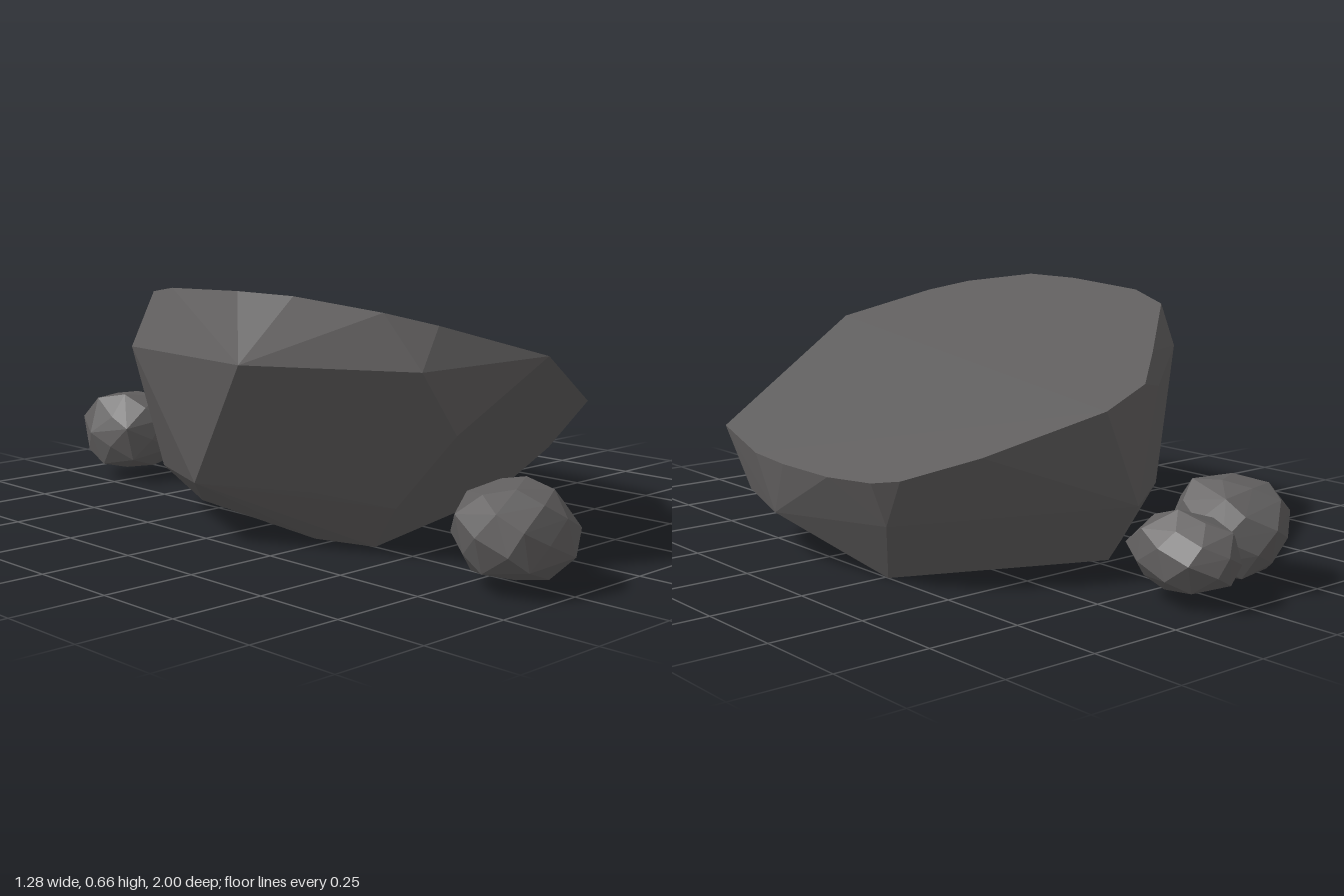
import * as THREE from 'three';
import { ConvexGeometry } from 'three/addons/geometries/ConvexGeometry.js';

// Small seeded random generator
function seeded(seed) {
  let s = seed;
  return () => (s = (s * 16807) % 2147483647) / 2147483647;
}

// Height of the slanted cut across the boulder
const cutHeight = (x) => 0.476 - 0.329 * x;

function boulderGeometry() {
  // Rim of the cut face (x, z)
  const rim = [
    [-0.13, 0.82], [0.55, 0.43], [0.625, 0.15], [0.637, 0], [0.637, -0.2], [0.615, -0.35],
    [0.58, -0.42], [0.42, -0.53], [0.13, -0.65], [-0.02, -0.63], [-0.18, -0.5], [-0.45, -0.27],
    [-0.52, -0.1], [-0.555, 0.2], [-0.555, 0.4], [-0.46, 0.6], [-0.37, 0.69],
  ].map(([x, z]) => [x, cutHeight(x), z]);
  // Corners around the flanks
  const flanks = [
    [-0.64, 0.495, 0.3], [-0.425, 0.495, 0.69], [-0.31, 0.335, 0.695], [-0.31, 0.13, 0.5],
    [-0.42, 0.16, 0.32], [-0.56, 0.16, 0.03], [-0.57, 0.49, -0.21], [-0.22, 0.44, -0.485],
    [-0.38, 0.13, -0.33], [-0.02, 0.17, -0.615], [0.57, 0.16, -0.35], [0.62, 0.125, 0.07],
    [0.56, 0.14, 0.285],
  ];
  // Flat underside
  const base = [
    [-0.25, 0, 0.37], [0.4, 0, 0.2], [0.46, 0, -0.05], [0.5, 0, -0.26],
    [-0.04, 0, -0.49], [-0.22, 0, -0.36], [-0.3, 0, 0.2],
  ];
  return new ConvexGeometry([...rim, ...flanks, ...base].map((p) => new THREE.Vector3(...p)));
}

// Faceted pebble filling the box from min to max, flat underneath
function pebbleGeometry(min, max, seed) {
  const rand = seeded(seed);
  const count = 38;
  const points = [];
  for (let i = 0; i < count; i++) {
    const y = 1 - (2 * (i + 0.5)) / count;
    const angle = i * 2.39996 + rand() * 0.3;
    const ring = Math.sqrt(1 - y * y);
    const p = new THREE.Vector3(Math.cos(angle) * ring, y, Math.sin(angle) * ring);
    p.multiplyScalar(0.9 + rand() * 0.16);
    p.y = Math.max(p.y, -0.72);
    points.push(p);
  }
  const box = new THREE.Box3().setFromPoints(points);
  const size = box.getSize(new THREE.Vector3());
  const lo = new THREE.Vector3(...min);
  const span = new THREE.Vector3(...max).sub(lo);
  points.forEach((p) => p.sub(box.min).divide(size).multiply(span).add(lo));
  return new ConvexGeometry(points);
}

export function createModel() {
  const group = new THREE.Group();
  group.name = 'rocks';
  const stone = new THREE.MeshStandardMaterial({ color: 0x605e5e });
  stone.name = 'dark grey stone';

  const add = (name, geometry) => {
    const mesh = new THREE.Mesh(geometry, stone);
    mesh.name = name;
    group.add(mesh);
  };

  add('boulder', boulderGeometry());
  add('frontPebble', pebbleGeometry([-0.43, 0.035, 0.71], [-0.15, 0.255, 1.0], 11));
  add('backRightPebble', pebbleGeometry([-0.275, 0.035, -0.975], [0, 0.26, -0.66], 47));
  add('backLeftPebble', pebbleGeometry([-0.03, 0.035, -1.0], [0.17, 0.225, -0.71], 83));
  return group;
}
